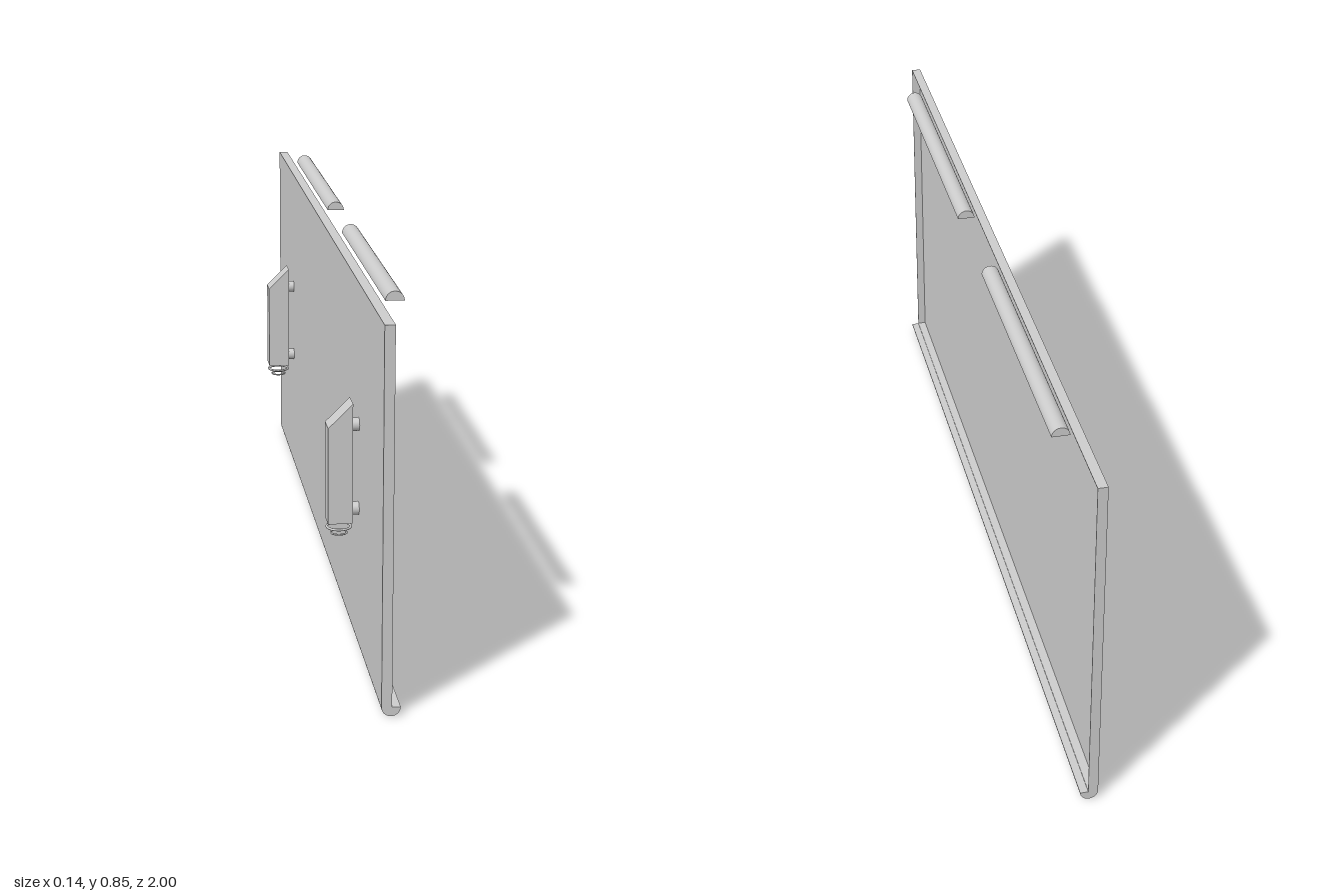
import * as THREE from 'three';

const material = new THREE.MeshStandardMaterial({ color: 0xcccccc });

function add(parent, name, geometry, x = 0, y = 0, z = 0) {
  const mesh = new THREE.Mesh(geometry, material);
  mesh.name = name;
  mesh.position.set(x, y, z);
  parent.add(mesh);
  return mesh;
}

// Solid half-round bar running along z, centred on its flat face
function halfRound(radius, length, domeUp) {
  const shape = new THREE.Shape();
  const start = domeUp ? 0 : Math.PI;
  shape.absarc(0, 0, radius, start, start + Math.PI, false);
  shape.closePath();
  return new THREE.ExtrudeGeometry(shape, { depth: length, bevelEnabled: false, curveSegments: 16 })
    .translate(0, 0, -length / 2);
}

// Wall bracket: slant-topped grip, two stems and two rings below
function makeHandle() {
  const handle = new THREE.Group();
  handle.name = 'handle';
  const width = 0.054;
  const profile = new THREE.Shape([
    new THREE.Vector2(-0.07, 0.305),
    new THREE.Vector2(-0.016, 0.305),
    new THREE.Vector2(-0.016, 0.575),
    new THREE.Vector2(-0.07, 0.522),
  ]);
  add(handle, 'grip', new THREE.ExtrudeGeometry(profile, { depth: width, bevelEnabled: false })
    .translate(0, 0, -width / 2));
  for (const y of [0.331, 0.522]) {
    add(handle, 'stem', new THREE.CylinderGeometry(0.0145, 0.0145, 0.017, 24).rotateZ(Math.PI / 2), -0.0082, y);
  }
  add(handle, 'largeRing', new THREE.TorusGeometry(0.0262, 0.0027, 10, 40).rotateX(Math.PI / 2), -0.043, 0.291);
  add(handle, 'smallRing', new THREE.TorusGeometry(0.0175, 0.002, 10, 32).rotateX(Math.PI / 2), -0.043, 0.277);
  return handle;
}

export function createModel() {
  const model = new THREE.Group();
  model.name = 'wallBoard';

  // Shallow tray-shaped board, open towards +x
  const bottom = 0.02, top = 0.832, depth = 0.022, t = 0.002;
  const height = top - bottom, midY = (top + bottom) / 2;
  const board = new THREE.Group();
  board.name = 'board';
  model.add(board);
  add(board, 'backPanel', new THREE.BoxGeometry(t, height, 2), t / 2, midY);
  for (const s of [-1, 1]) {
    add(board, 'sideRim', new THREE.BoxGeometry(depth, height, t), depth / 2, midY, s * (1 - t / 2));
    add(board, 'edgeRim', new THREE.BoxGeometry(depth, t, 2), depth / 2, midY + s * (height - t) / 2);
  }

  // Half-round ledge along the bottom
  add(model, 'ledge', halfRound(0.02, 2, false), 0.02, 0.02);

  // Mirrored top bars and handles
  for (const s of [-1, 1]) {
    add(model, 'topBar', halfRound(0.02, 0.676, true), 0.05, 0.834, s * 0.473);
    const handle = makeHandle();
    handle.position.z = s * 0.645;
    model.add(handle);
  }
  return model;
}
